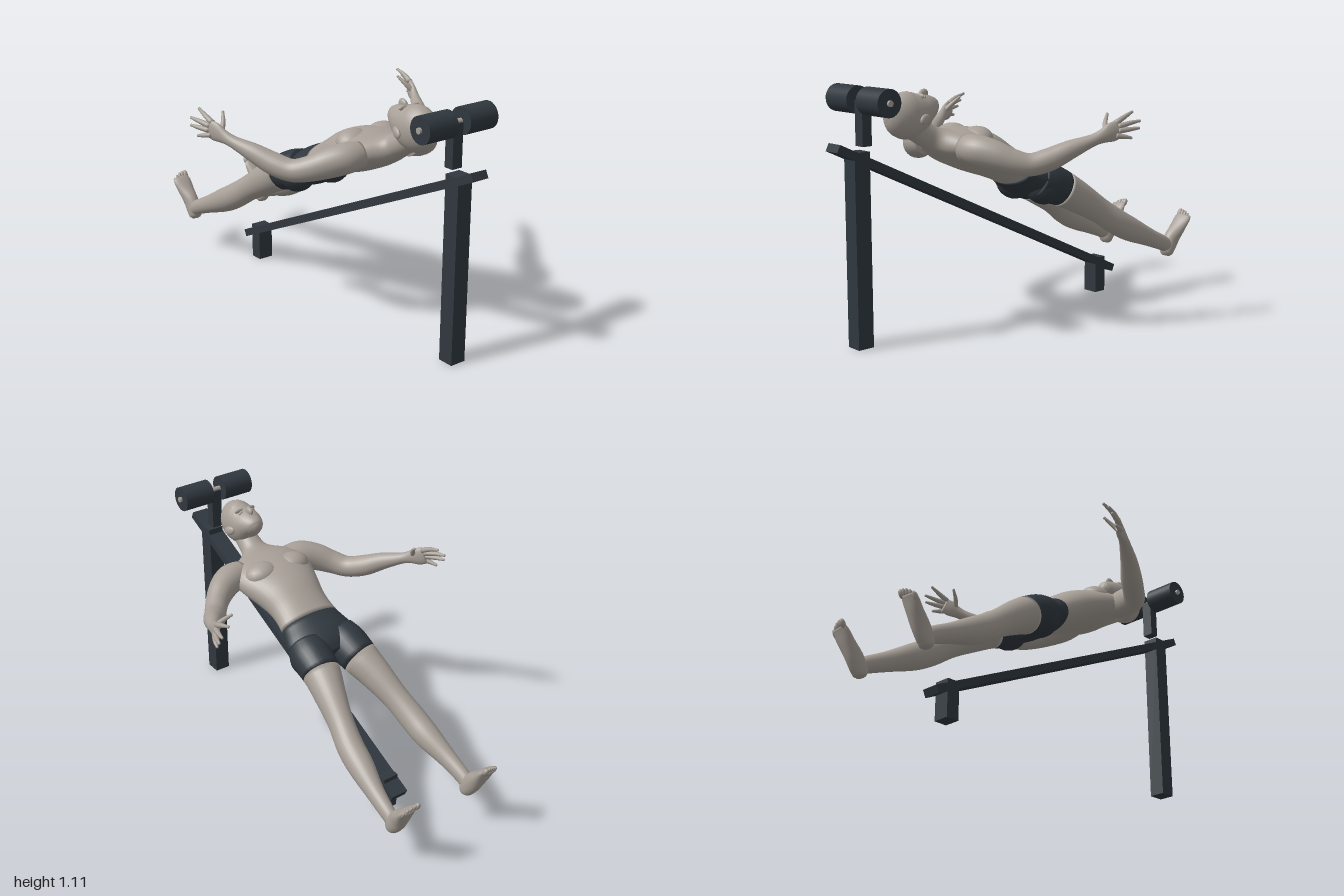
import * as THREE from 'three';

const mat = (name, color, side = THREE.FrontSide) => {
  const m = new THREE.MeshStandardMaterial({ color, side });
  m.name = name;
  return m;
};

// Smooth elliptical loft. Sections are [x, y, z, halfWidth, halfHeight];
// from/to pick a range of section indices.
function loft(sections, up, from = 0, to = sections.length - 1, sides = 24, steps = 5) {
  const path = new THREE.CatmullRomCurve3(sections.map(s => new THREE.Vector3(s[0], s[1], s[2])), false, 'catmullrom');
  const size = new THREE.CatmullRomCurve3(sections.map(s => new THREE.Vector3(s[3], s[4], 0)), false, 'catmullrom');
  const rings = (to - from) * steps;
  const pos = [], idx = [];
  for (let i = 0; i <= rings; i++) {
    const t = (from + i / steps) / (sections.length - 1);
    const c = path.getPoint(t), r = size.getPoint(t), T = path.getTangent(t);
    const N = up.clone().addScaledVector(T, -up.dot(T)).normalize();
    const B = N.clone().cross(T);
    for (let j = 0; j < sides; j++) {
      const a = j / sides * Math.PI * 2;
      const p = c.clone().addScaledVector(B, r.x * Math.cos(a)).addScaledVector(N, r.y * Math.sin(a));
      pos.push(p.x, p.y, p.z);
    }
  }
  for (let i = 0; i < rings; i++) for (let j = 0; j < sides; j++) {
    const a = i * sides + j, b = i * sides + (j + 1) % sides;
    idx.push(a, b, a + sides, b, b + sides, a + sides);
  }
  // end caps
  const s = pos.length / 3, c0 = sections[from], c1 = sections[to];
  pos.push(c0[0], c0[1], c0[2], c1[0], c1[1], c1[2]);
  for (let j = 0; j < sides; j++) {
    const k = (j + 1) % sides, o = rings * sides;
    idx.push(s, k, j, s + 1, o + j, o + k);
  }
  const g = new THREE.BufferGeometry();
  g.setAttribute('position', new THREE.Float32BufferAttribute(pos, 3));
  g.setIndex(idx);
  g.computeVertexNormals();
  return g;
}

export function createModel() {
  const root = new THREE.Group();
  root.name = 'recliningFigureOnBench';
  const skin = mat('skin', 0xa8a098);
  const dark = mat('dark slate', 0x30383f);
  const Y = new THREE.Vector3(0, 1, 0), Z = new THREE.Vector3(0, 0, 1);

  const add = (name, geo, material, x = 0, y = 0, z = 0) => {
    const m = new THREE.Mesh(geo, material);
    m.name = name;
    m.position.set(x, y, z);
    root.add(m);
    return m;
  };
  const blob = (name, material, p, r, tilt = 0) => {
    const m = add(name, new THREE.SphereGeometry(1, 20, 14), material, ...p);
    m.scale.set(...r);
    m.rotation.x = tilt;
    return m;
  };
  const flip = (sections, s) => sections.map(([x, ...rest]) => [x * s, ...rest]);

  // Bench
  add('benchBoard', new THREE.BoxGeometry(0.084, 0.036, 1.8), dark, 0, 0.486, 0.173).rotation.x = -0.435;
  add('tallPost', new THREE.BoxGeometry(0.076, 0.84, 0.076), dark, 0, 0.42, 0.872);
  add('shortPost', new THREE.BoxGeometry(0.076, 0.175, 0.064), dark, 0, 0.0875, -0.552);
  add('rollerPost', new THREE.BoxGeometry(0.052, 0.19, 0.046), dark, 0, 0.955, 0.837);
  const axle = add('rollerAxle', new THREE.CylinderGeometry(0.013, 0.013, 0.392, 16), skin, 0, 1.05, 0.837);
  axle.rotation.z = Math.PI / 2;
  for (const s of [-1, 1]) {
    const roller = add('roller', new THREE.CylinderGeometry(0.059, 0.059, 0.152, 32), dark, s * 0.109, 1.05, 0.837);
    roller.rotation.z = Math.PI / 2;
  }

  // Head, lofted from crown to chin
  add('head', loft([
    [0, 0.97, 0.721, 0.004, 0.005], [0, 0.97, 0.711, 0.035, 0.046], [0, 0.97, 0.685, 0.06, 0.079],
    [0, 0.97, 0.64, 0.076, 0.1], [0, 0.971, 0.595, 0.078, 0.103], [0, 0.98, 0.555, 0.074, 0.089],
    [0, 0.99, 0.52, 0.066, 0.068], [0, 0.992, 0.49, 0.053, 0.054], [0, 0.986, 0.469, 0.037, 0.042],
    [0, 0.98, 0.455, 0.016, 0.02],
  ], Y), skin);
  blob('nose', skin, [0, 1.056, 0.522], [0.013, 0.022, 0.026], 0.35);
  blob('upperLip', skin, [0, 1.04, 0.496], [0.024, 0.01, 0.006]);
  blob('lowerLip', skin, [0, 1.033, 0.485], [0.02, 0.01, 0.006]);
  blob('chin', skin, [0, 1.01, 0.466], [0.022, 0.02, 0.016]);
  for (const s of [-1, 1]) {
    blob('ear', skin, [s * 0.08, 0.957, 0.575], [0.011, 0.021, 0.032], 0.4).rotation.y = s * 0.25;
    blob('brow', skin, [s * 0.03, 1.052, 0.562], [0.026, 0.012, 0.008]);
    blob('eyelid', skin, [s * 0.03, 1.045, 0.545], [0.015, 0.012, 0.008]);
  }

  // Torso from neck to crotch; shorts start at the waist section
  const torso = [
    [0, 0.93, 0.6, 0.05, 0.055], [0, 0.888, 0.53, 0.055, 0.055], [0, 0.86, 0.48, 0.075, 0.056],
    [0, 0.838, 0.43, 0.165, 0.064], [0, 0.82, 0.37, 0.2, 0.084], [0, 0.8, 0.29, 0.192, 0.098],
    [0, 0.77, 0.2, 0.163, 0.1], [0, 0.732, 0.12, 0.144, 0.09], [0, 0.688, 0.037, 0.152, 0.081],
    [0, 0.645, -0.04, 0.178, 0.09], [0, 0.61, -0.1, 0.18, 0.085], [0, 0.588, -0.14, 0.13, 0.06],
  ];
  add('torso', loft(torso, Y, 0, 8, 36), skin);
  add('shortsHips', loft(torso, Y, 8, 11, 36), dark);

  const leg = [
    [0.09, 0.635, -0.06, 0.09, 0.088], [0.1, 0.61, -0.12, 0.095, 0.095], [0.109, 0.575, -0.205, 0.088, 0.086],
    [0.132, 0.52, -0.3, 0.072, 0.076], [0.157, 0.45, -0.41, 0.058, 0.063], [0.178, 0.383, -0.51, 0.06, 0.063],
    [0.188, 0.335, -0.6, 0.058, 0.06], [0.204, 0.28, -0.72, 0.041, 0.045], [0.212, 0.236, -0.82, 0.032, 0.038],
    [0.212, 0.21, -0.865, 0.03, 0.034],
  ];
  const foot = [
    [0.21, 0.166, -0.85, 0.018, 0.014], [0.21, 0.178, -0.853, 0.031, 0.03], [0.211, 0.205, -0.862, 0.035, 0.04],
    [0.212, 0.25, -0.889, 0.036, 0.042], [0.217, 0.3, -0.926, 0.042, 0.03], [0.221, 0.338, -0.952, 0.046, 0.02],
    [0.223, 0.36, -0.969, 0.042, 0.013],
  ];
  // Arm runs through the wrist into a thin upright palm
  const arm = [
    [0.13, 0.825, 0.4, 0.06, 0.058], [0.2, 0.82, 0.39, 0.07, 0.068], [0.27, 0.802, 0.355, 0.062, 0.066],
    [0.33, 0.777, 0.305, 0.053, 0.056], [0.378, 0.763, 0.245, 0.05, 0.05], [0.425, 0.785, 0.175, 0.05, 0.05],
    [0.475, 0.825, 0.1, 0.04, 0.041], [0.522, 0.86, 0.02, 0.027, 0.027], [0.543, 0.877, -0.02, 0.021, 0.03],
    [0.56, 0.893, -0.06, 0.018, 0.042], [0.575, 0.906, -0.092, 0.013, 0.04],
  ];
  // [knuckle, middle joint, tip] for each finger and the thumb
  const fingers = [
    [[0.566, 0.932, -0.08], [0.572, 0.956, -0.13], [0.57, 0.973, -0.178]],
    [[0.574, 0.917, -0.085], [0.595, 0.93, -0.14], [0.607, 0.937, -0.186]],
    [[0.578, 0.899, -0.085], [0.601, 0.904, -0.132], [0.615, 0.907, -0.174]],
    [[0.574, 0.88, -0.075], [0.593, 0.873, -0.108], [0.604, 0.867, -0.138]],
    [[0.55, 0.895, -0.035], [0.522, 0.932, -0.062], [0.502, 0.965, -0.095]],
  ];

  for (const s of [-1, 1]) {
    const side = s > 0 ? 'left' : 'right';
    add(side + 'ShortsLeg', loft(flip(leg, s), Y, 0, 2, 28), dark);
    add(side + 'Leg', loft(flip(leg, s), Y, 2, 9, 28), skin);
    add(side + 'Foot', loft(flip(foot, s), Z), skin);
    // toes, largest on the inner side
    for (let i = 0; i < 5; i++) {
      const r = i ? 0.0085 : 0.0125, drop = i * i * 0.0016;
      blob(side + 'Toe', skin, [s * (0.19 + i * 0.0165), 0.368 - drop, -0.976 + drop * 0.5], [r, r, 0.022], 1.05);
    }
    add(side + 'Arm', loft(flip(arm, s), Y), skin);
    for (const [k, m, t] of fingers) {
      const pts = flip([[...k, 0.013, 0.014], [...m, 0.0105, 0.0105], [...t, 0.006, 0.006]], s);
      add(side + 'Finger', loft(pts, Z.clone().applyAxisAngle(Y, s * 1.2), 0, 2, 12), skin);
      blob(side + 'Fingertip', skin, pts[2].slice(0, 3), [0.0068, 0.0068, 0.0068]);
    }
    blob(side + 'ChestMuscle', skin, [s * 0.085, 0.845, 0.3], [0.085, 0.06, 0.075], 0.35);
    blob(side + 'Buttock', dark, [s * 0.1, 0.6, -0.1], [0.09, 0.09, 0.09]);
  }
  return root;
}
